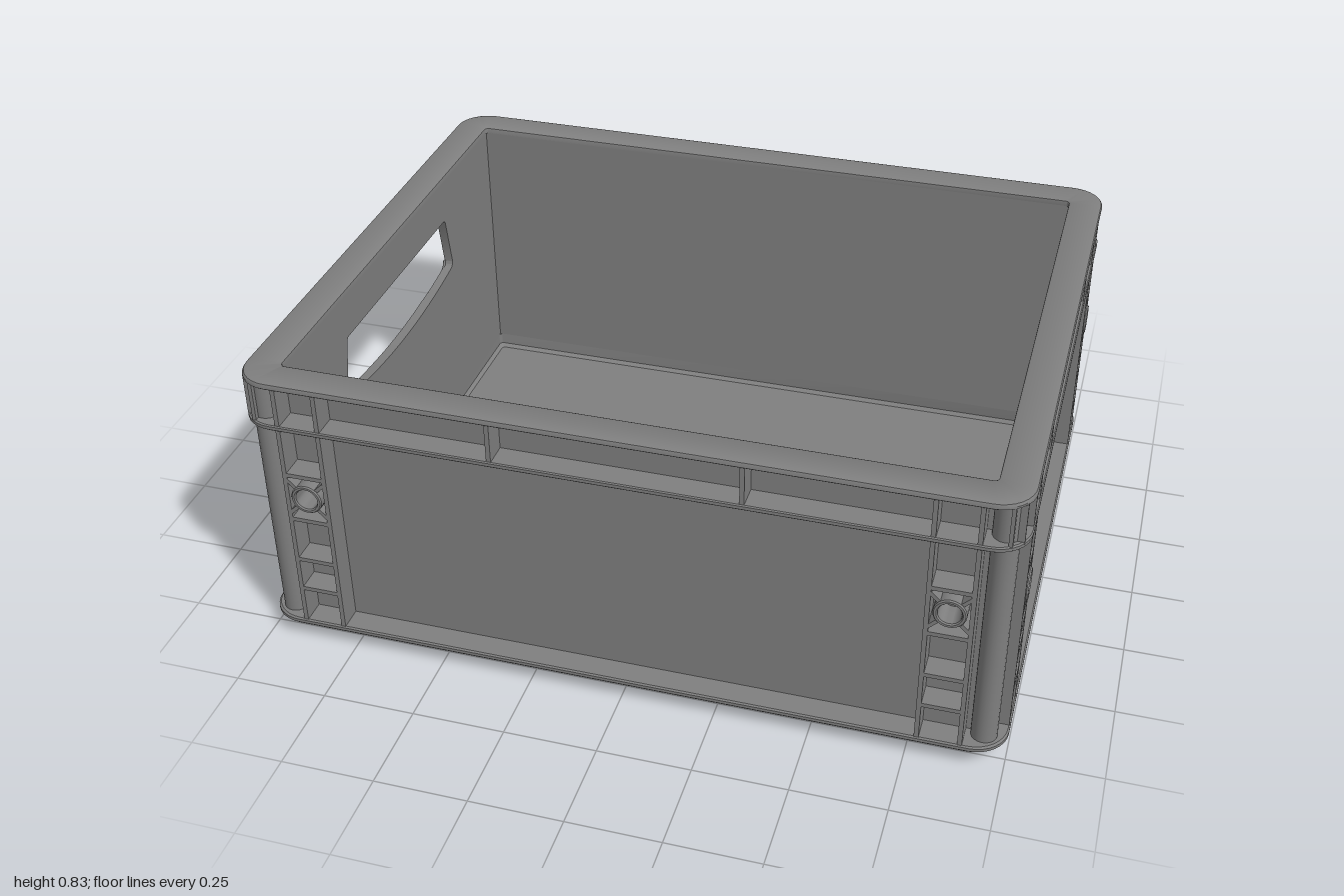
import * as THREE from 'three';
import { toCreasedNormals } from 'three/addons/utils/BufferGeometryUtils.js';

const HX = 1, HZ = 0.806;        // outer half sizes
const IN = 0.094, SKIN = 0.068;  // inset of the inner and outer wall faces
const CORNER = 0.09;

// Rounded rectangle in the xz plane, same point count for any size
function outline(inset, r) {
  const pts = [], n = 8;
  const hx = Math.max(HX - inset, 0), hz = Math.max(HZ - inset, 0);
  [[1, 1], [-1, 1], [-1, -1], [1, -1]].forEach(([sx, sz], q) => {
    for (let i = 0; i <= n; i++) {
      const a = (q + i / n) * Math.PI / 2;
      pts.push([sx * (hx - r) + r * Math.cos(a), sz * (hz - r) + r * Math.sin(a)]);
    }
  });
  return pts;
}

// Surface through sections given as [inset, cornerRadius, y]; inset 2 closes at the centre
function loft(sections) {
  const pos = [];
  const rings = sections.map(([inset, r, y]) => outline(inset, r).map(([x, z]) => [x, y, z]));
  for (let s = 0; s < rings.length - 1; s++) {
    const A = rings[s], B = rings[s + 1];
    for (let i = 0; i < A.length; i++) {
      const j = (i + 1) % A.length;
      pos.push(...A[i], ...B[i], ...A[j], ...B[i], ...B[j], ...A[j]);
    }
  }
  const g = new THREE.BufferGeometry();
  g.setAttribute('position', new THREE.Float32BufferAttribute(pos, 3));
  return toCreasedNormals(g, 0.6);
}

export function createModel() {
  const crate = new THREE.Group();
  crate.name = 'crate';
  const grey = new THREE.MeshStandardMaterial({ color: 0x7f7f7f });
  grey.name = 'grey plastic';

  const add = (parent, name, geo, x = 0, y = 0, z = 0) => {
    const m = new THREE.Mesh(geo, grey);
    m.name = name;
    m.position.set(x, y, z);
    parent.add(m);
    return m;
  };

  // Base tray with chamfered underside
  add(crate, 'base', loft([
    [2, 0, 0], [0.085, 0.03, 0], [0.078, 0.035, 0.002], [0.004, CORNER, 0.052], [0, CORNER, 0.057],
    [0, CORNER, 0.066], [0.004, CORNER, 0.07], [SKIN, 0.03, 0.07], [IN, 0.012, 0.07],
    [IN, 0.012, 0.035], [IN + 0.01, 0.01, 0.025], [2, 0, 0.025],
  ]));
  // Ledge below the top band
  add(crate, 'ledge', loft([
    [SKIN + 0.005, 0.03, 0.686], [0.003, CORNER, 0.686], [0, CORNER, 0.689], [0, CORNER, 0.698],
    [0.003, CORNER, 0.701], [SKIN + 0.005, 0.03, 0.701],
  ]));
  // Top rim with softened edges
  add(crate, 'rim', loft([
    [IN, 0.012, 0.808], [0.003, CORNER, 0.808], [0, CORNER, 0.811], [0, CORNER, 0.817],
    [0.003, CORNER, 0.823], [0.01, CORNER, 0.826], [IN - 0.006, 0.018, 0.826],
    [IN - 0.001, 0.013, 0.823], [IN, 0.012, 0.818], [IN, 0.012, 0.808],
  ]));

  // Hand opening with a bowed lower edge
  const handle = () => {
    const h = new THREE.Path();
    h.moveTo(-0.335, 0.686);
    h.lineTo(0.335, 0.686);
    h.quadraticCurveTo(0.347, 0.686, 0.35, 0.672);
    h.lineTo(0.377, 0.535);
    h.quadraticCurveTo(0.38, 0.515, 0.358, 0.511);
    h.quadraticCurveTo(0, 0.447, -0.358, 0.511);
    h.quadraticCurveTo(-0.38, 0.515, -0.377, 0.535);
    h.lineTo(-0.35, 0.672);
    h.quadraticCurveTo(-0.347, 0.686, -0.335, 0.686);
    return h;
  };

  // Hollow locating boss, axis along z
  const boss = (depth) => {
    const profile = [[0.03, 0], [0.042, 0], [0.042, depth - 0.004], [0.039, depth],
      [0.033, depth], [0.03, depth - 0.004], [0.03, 0]];
    const g = new THREE.LatheGeometry(profile.map(([x, y]) => new THREE.Vector2(x, y)), 24);
    g.rotateX(Math.PI / 2);
    return toCreasedNormals(g, 0.6);
  };

  // One wall with its ribs: W half width, D distance to the outer face
  function wall(name, W, D, angle, rows, bandRib, hasHandle) {
    const g = new THREE.Group();
    g.name = name;
    g.rotation.y = angle;
    crate.add(g);
    const face = D - SKIN, w = W - SKIN;

    const s = new THREE.Shape();
    s.moveTo(-w, 0.06); s.lineTo(w, 0.06); s.lineTo(w, 0.812); s.lineTo(-w, 0.812); s.closePath();
    if (hasHandle) s.holes.push(handle());
    const panel = new THREE.ExtrudeGeometry(s, { depth: IN - SKIN, bevelEnabled: false, curveSegments: 16 });
    add(g, 'wallPanel', toCreasedNormals(panel, 0.5), 0, 0, D - IN);

    // Rib from the panel outwards to the given depth
    const rib = (rn, u0, u1, y0, y1, out = D - 0.003) =>
      add(g, rn, new THREE.BoxGeometry(u1 - u0, y1 - y0, out - face + 0.01),
        (u0 + u1) / 2, (y0 + y1) / 2, (out + face - 0.01) / 2);
    const t = 0.006;

    for (const side of [-1, 1]) {
      const cu = side * (W - 0.167);
      // Uprights of the ladder column
      for (const off of [0.113, 0.222]) {
        const u = side * (W - off);
        rib('upright', u - t, u + t, 0.06, 0.815);
      }
      // Rungs
      for (const y of rows) rib('rung', cu - 0.054, cu + 0.054, y - t, y + t);
      // Top band dividers
      const b = side * bandRib, c = side * (W - 0.045);
      rib('bandRib', b - t, b + t, 0.69, 0.815);
      rib('cornerBandRib', c - 0.005, c + 0.005, 0.69, 0.815, D - 0.015);
      // Boss with diagonal webs
      add(g, 'boss', boss(SKIN + 0.002), cu, 0.483, face);
      for (let k = 0; k < 4; k++) {
        const a = Math.PI / 4 + k * Math.PI / 2;
        const web = rib('bossWeb', -0.018, 0.018, -0.005, 0.005);
        web.position.x = cu + 0.054 * Math.cos(a);
        web.position.y = 0.483 + 0.056 * Math.sin(a);
        web.rotation.z = a;
      }
    }
    if (hasHandle) {
      // Raised lip under the hand opening
      const pts = [[-0.377, 0.535], [-0.362, 0.511], [-0.18, 0.488], [0, 0.48], [0.18, 0.488], [0.362, 0.511], [0.377, 0.535]];
      const path = new THREE.CatmullRomCurve3(pts.map(([x, y]) => new THREE.Vector3(x, y - 0.005, face)));
      add(g, 'handleLip', new THREE.TubeGeometry(path, 40, 0.004, 6));
    }
  }

  const longRows = [0.55, 0.41, 0.277, 0.178];
  const shortRows = [0.55, 0.415, 0.355, 0.285, 0.178];
  wall('frontWall', HX, HZ, 0, longRows, 0.32, false);
  wall('backWall', HX, HZ, Math.PI, longRows, 0.32, false);
  wall('leftWall', HZ, HX, Math.PI / 2, shortRows, 0.37, true);
  wall('rightWall', HZ, HX, -Math.PI / 2, shortRows, 0.37, true);

  // Rounded corner posts
  for (const sx of [-1, 1]) for (const sz of [-1, 1]) {
    add(crate, 'cornerPost', new THREE.CylinderGeometry(0.034, 0.034, 0.755, 20),
      sx * (HX - 0.06), 0.4375, sz * (HZ - 0.06));
  }
  return crate;
}
